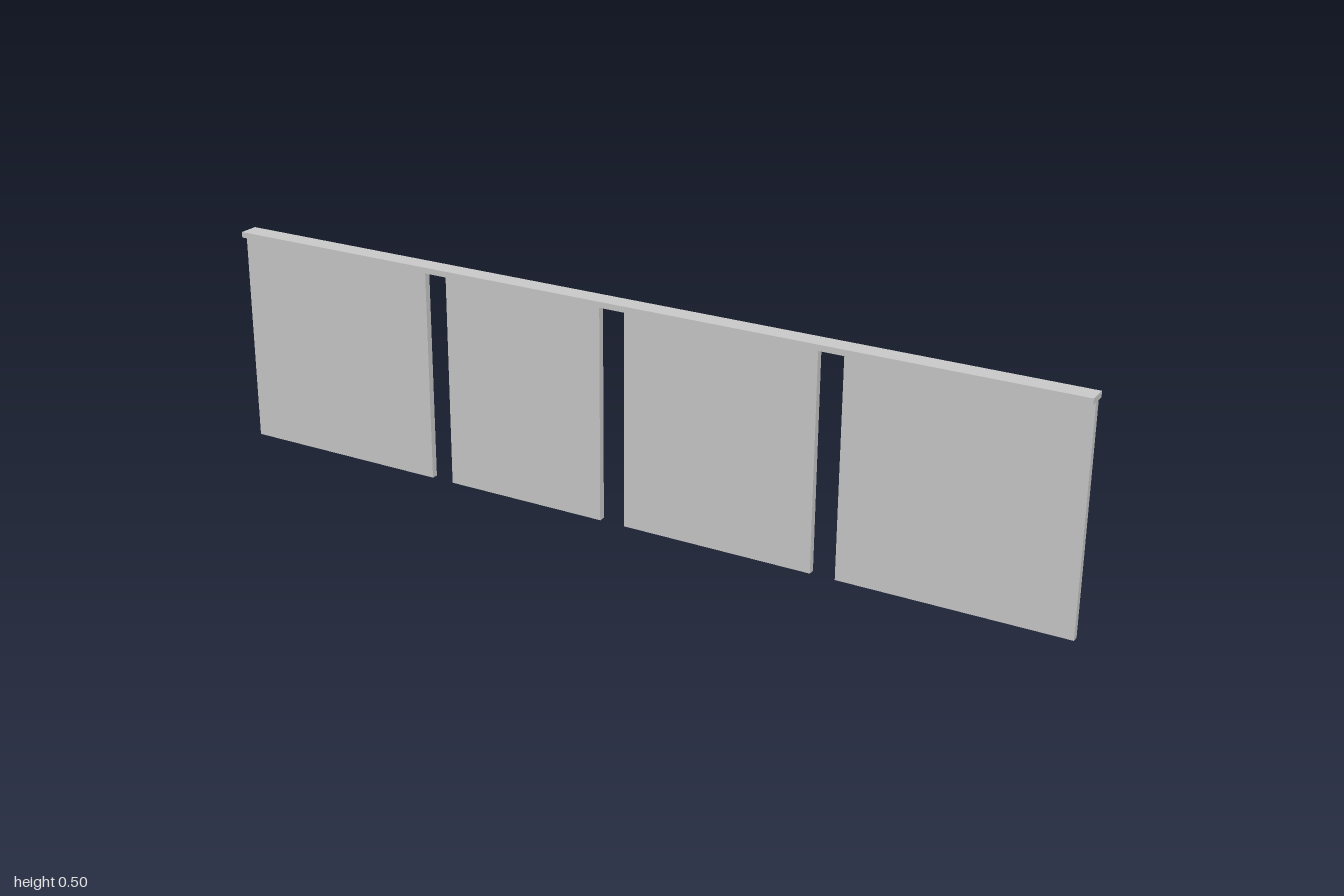
import * as THREE from 'three';

export function createModel() {
  const model = new THREE.Group();
  const material = new THREE.MeshStandardMaterial({ color: 0xcccccc, flatShading: true });

  // The whole wall is turned slightly about the vertical axis
  const wall = new THREE.Group();
  wall.name = 'wall';
  wall.rotation.y = 0.0675;
  model.add(wall);

  const length = 2.0015, panelTop = 0.489, top = 0.502;

  function addBox(name, x0, x1, y0, y1, depth) {
    const mesh = new THREE.Mesh(new THREE.BoxGeometry(x1 - x0, y1 - y0, depth), material);
    mesh.name = name;
    mesh.position.set((x0 + x1) / 2, (y0 + y1) / 2, 0);
    wall.add(mesh);
  }

  // Four upright panels with openings between them
  const spans = [[-length / 2, -0.5], [-0.446, -0.058], [0.002, 0.442], [0.498, length / 2]];
  spans.forEach(([x0, x1], i) => addBox(`panel${i + 1}`, x0, x1, 0, panelTop, 0.015));

  // Flat cap rail running along the top
  addBox('capRail', -length / 2, length / 2, panelTop, top, 0.045);

  return model;
}
